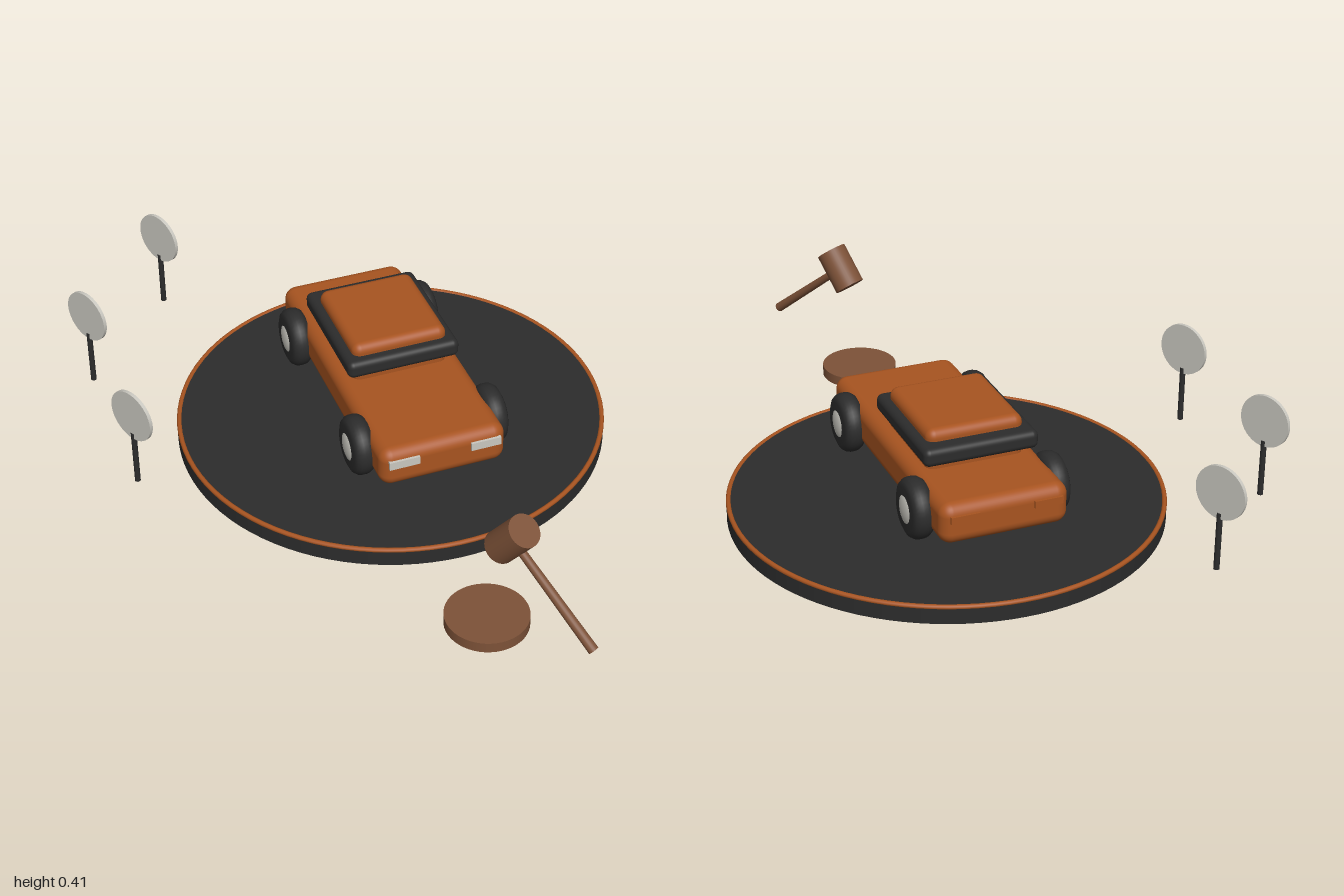
import * as THREE from 'three';
import { RoundedBoxGeometry } from 'three/addons/geometries/RoundedBoxGeometry.js';

const paint = (name, color) => {
  const m = new THREE.MeshStandardMaterial({ color });
  m.name = name;
  return m;
};

export function createModel() {
  const orange = paint('orange paint', 0xa85420);
  const dark = paint('dark rubber', 0x2c2c2c);
  const wood = paint('brown wood', 0x7d5238);
  const pale = paint('pale grey', 0xcac8c0);

  const model = new THREE.Group();
  model.name = 'carAuction';

  const add = (parent, name, geometry, material, x = 0, y = 0, z = 0) => {
    const mesh = new THREE.Mesh(geometry, material);
    mesh.name = name;
    mesh.position.set(x, y, z);
    parent.add(mesh);
    return mesh;
  };
  const group = (name, x, y, z) => {
    const g = new THREE.Group();
    g.name = name;
    g.position.set(x, y, z);
    model.add(g);
    return g;
  };

  // Round display platform with a painted rim
  const stage = group('platform', -0.092, 0, -0.062);
  add(stage, 'platformDisc', new THREE.CylinderGeometry(0.606, 0.606, 0.05, 96), dark, 0, 0.025, 0);
  add(stage, 'platformRim', new THREE.TorusGeometry(0.6, 0.007, 10, 96), orange, 0, 0.047, 0)
    .rotation.x = Math.PI / 2;

  // Car, nose along its own +x, turned on the platform
  const car = group('car', -0.092, 0, -0.062);
  car.rotation.y = -0.48;
  add(car, 'body', new RoundedBoxGeometry(0.84, 0.118, 0.36, 5, 0.035), orange, 0, 0.19, 0);
  add(car, 'cabin', new RoundedBoxGeometry(0.3, 0.14, 0.275, 5, 0.025), orange, -0.063, 0.29, 0);
  add(car, 'windowBand', new RoundedBoxGeometry(0.375, 0.052, 0.325, 5, 0.018), dark, -0.07, 0.303, 0);

  // Tyre profile, revolved round the axle
  const half = [[0.062, 0.031], [0.075, 0.025], [0.082, 0.015], [0.084, 0.006]];
  const profile = [
    [0, -0.031], ...half.map(([r, w]) => [r, -w]),
    ...half.slice().reverse(), [0, 0.031],
  ].map(([r, w]) => new THREE.Vector2(r, w));
  const tyre = new THREE.LatheGeometry(profile, 40).rotateX(Math.PI / 2);
  const hub = new THREE.SphereGeometry(0.045, 28, 16).scale(1, 1, 0.3);

  for (const side of [-1, 1]) {
    for (const end of [-1, 1]) {
      const label = (end > 0 ? 'front' : 'rear') + (side > 0 ? 'Right' : 'Left');
      add(car, label + 'Tyre', tyre, dark, end * 0.262, 0.175, side * 0.193);
      add(car, label + 'Hub', hub, pale, end * 0.262, 0.175, side * 0.217);
    }
    // Lamps at the nose and tail
    add(car, 'headlight', new THREE.BoxGeometry(0.016, 0.024, 0.086), pale, 0.418, 0.211, side * 0.117);
    add(car, 'tailLight', new THREE.BoxGeometry(0.016, 0.02, 0.08), orange, -0.418, 0.211, side * 0.117);
  }

  // Gavel, handle sloping down to the right
  const gavel = group('gavel', 0.722, 0.337, 0.392);
  gavel.rotation.z = -0.66;
  add(gavel, 'gavelHead', new THREE.CylinderGeometry(0.045, 0.045, 0.122, 36), wood);
  add(gavel, 'gavelHandle', new THREE.CylinderGeometry(0.011, 0.014, 0.34, 20), wood, 0.17, 0, 0)
    .rotation.z = Math.PI / 2;

  // Striking block
  add(model, 'soundBlock', new THREE.CylinderGeometry(0.112, 0.112, 0.03, 48), wood, 0.65, 0.025, 0.392);

  // Bidding paddles
  for (const [x, z] of [[-0.925, 0.032], [-0.79, 0.436], [-0.365, 0.66]]) {
    const paddle = group('biddingPaddle', x, 0, z);
    add(paddle, 'paddleDisc', new THREE.CylinderGeometry(0.075, 0.075, 0.01, 40), pale, 0, 0.308, 0)
      .rotation.x = Math.PI / 2;
    add(paddle, 'paddleStick', new THREE.CylinderGeometry(0.008, 0.008, 0.165, 14), dark, 0, 0.167, 0);
  }

  return model;
}
